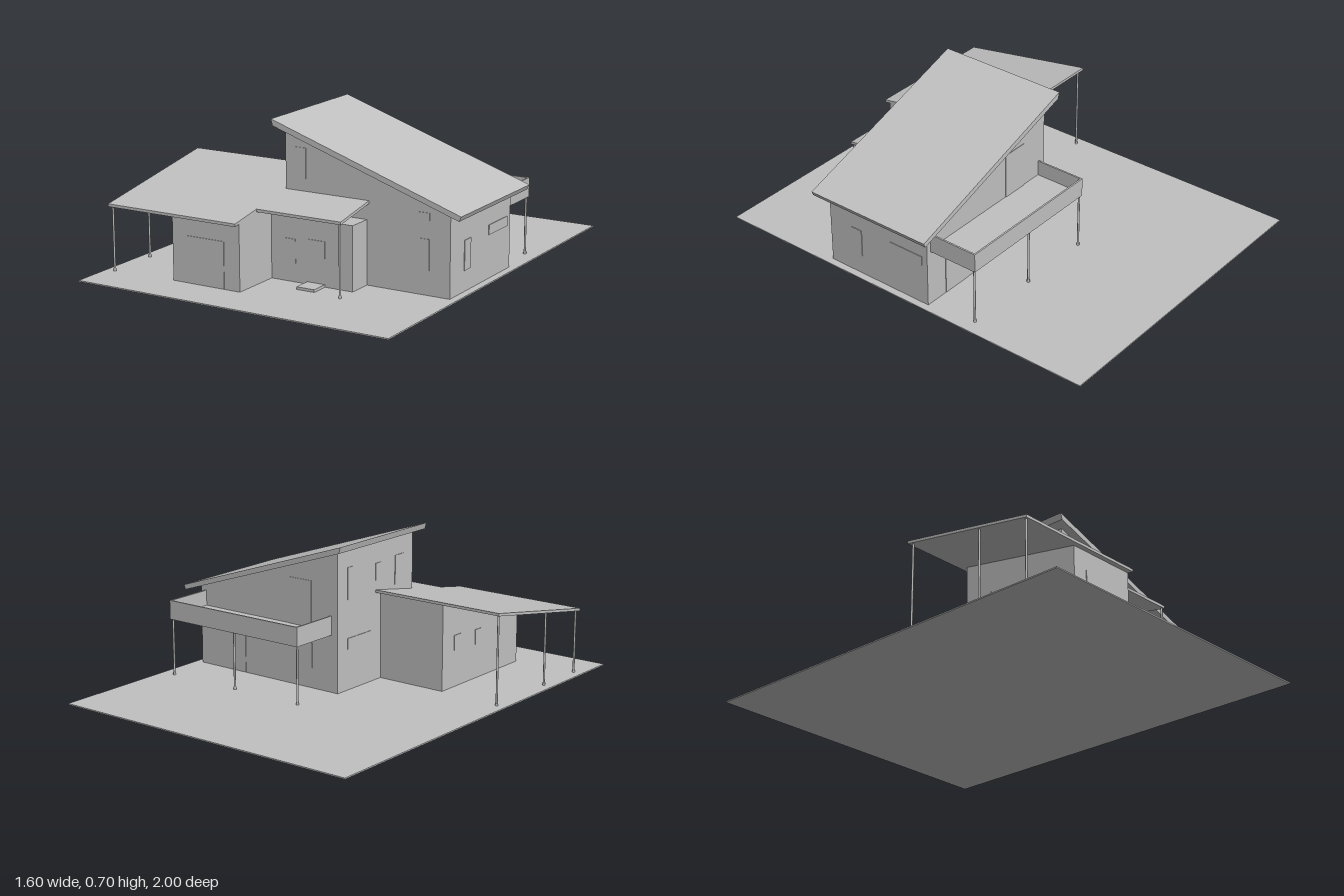
import * as THREE from 'three';

const grey = new THREE.MeshStandardMaterial({ color: 0xc0c0c0 });
grey.name = 'plain grey';

export function createModel() {
  const model = new THREE.Group();
  model.name = 'house';

  const add = (name, geometry, parent = model) => {
    const mesh = new THREE.Mesh(geometry, grey);
    mesh.name = name;
    parent.add(mesh);
    return mesh;
  };
  // Box given by its limits on each axis
  const box = (name, x0, x1, y0, y1, z0, z1, parent) =>
    add(name, new THREE.BoxGeometry(x1 - x0, y1 - y0, z1 - z0), parent)
      .position.set((x0 + x1) / 2, (y0 + y1) / 2, (z0 + z1) / 2);
  const extrude = (points, depth) => new THREE.ExtrudeGeometry(
    new THREE.Shape(points.map(([u, v]) => new THREE.Vector2(u, v))),
    { depth, bevelEnabled: false });
  // Prism with an (x, y) outline running along z
  const prismZ = (name, points, z0, z1) =>
    add(name, extrude(points, z1 - z0).translate(0, 0, z0));
  // Prism with a (z, y) outline running along x
  const prismX = (name, points, x0, x1) =>
    add(name, extrude(points.map(([z, y]) => [-z, y]), x1 - x0)
      .rotateY(Math.PI / 2).translate(x0, 0, 0));

  const GROUND = 0.006;
  box('ground', -0.8, 0.76, 0, GROUND, -1, 1);

  // Tall main block with its single-slope roof
  prismZ('mainWalls', [[-0.095, GROUND], [0.725, GROUND], [0.725, 0.382], [-0.095, 0.655]], -0.15, 0.415);
  prismZ('mainRoof', [[-0.145, 0.70], [-0.137, 0.67], [0.785, 0.363], [0.795, 0.385]], -0.195, 0.455);

  // Low wing, entry block and their roofs, which share one slope
  const roofY = z => 0.435 - 0.175 * (z - 0.13);
  const thick = 0.013;
  const lowRoof = (name, z0, z1, x0, x1) => prismX(name, [
    [z0, roofY(z0)], [z1, roofY(z1)], [z1, roofY(z1) - thick], [z0, roofY(z0) - thick]], x0, x1);
  prismX('wingWalls', [[0.17, GROUND], [0.785, GROUND],
    [0.785, roofY(0.785) - thick], [0.17, roofY(0.17) - thick]], -0.445, -0.095);
  box('entryWalls', -0.095, 0.318, GROUND, 0.3, 0.415, 0.535);
  lowRoof('wingRoof', 0.13, 0.815, -0.77, -0.095);
  lowRoof('porchRoof', 0.415, 0.65, -0.095, 0.328);
  box('entryStep', 0.09, 0.18, GROUND, 0.018, 0.535, 0.625);

  // Balcony: floor slab and thin parapet on three sides
  const balcony = new THREE.Group();
  balcony.name = 'balcony';
  model.add(balcony);
  box('balconyFloor', -0.06, 0.70, 0.275, 0.292, -0.395, -0.15, balcony);
  box('backParapet', -0.06, 0.70, 0.292, 0.365, -0.395, -0.387, balcony);
  for (const x of [-0.06, 0.692])
    box('sideParapet', x, x + 0.008, 0.292, 0.365, -0.387, -0.15, balcony);

  // Slim round posts with small feet
  const post = (x, z, top) => {
    const group = new THREE.Group();
    group.name = 'post';
    group.position.set(x, 0, z);
    model.add(group);
    add('postShaft', new THREE.CylinderGeometry(0.005, 0.005, top - GROUND, 10), group)
      .position.y = (top + GROUND) / 2;
    add('postFoot', new THREE.CylinderGeometry(0.007, 0.007, 0.012, 10), group)
      .position.y = GROUND + 0.006;
  };
  for (const z of [0.15, 0.54, 0.80]) post(-0.755, z, roofY(z) - 0.008);
  post(0.318, 0.64, roofY(0.64) - 0.008);
  for (const x of [-0.052, 0.316, 0.69]) post(x, -0.384, 0.28);

  // Doors and windows as thin plates: on walls facing z, then walls facing x
  const T = 0.003;
  const zPlates = [
    ['garageDoor', -0.37, -0.175, 0.008, 0.22, 0.785],
    ['entryDoor', 0.09, 0.18, 0.018, 0.21, 0.535],
    ['entryWindow', -0.026, 0.03, 0.09, 0.2, 0.535],
    ['upperFrontWindow', -0.045, 0.01, 0.43, 0.58, 0.415],
    ['middleFrontWindow', 0.573, 0.625, 0.29, 0.37, 0.415],
    ['lowerFrontWindow', 0.573, 0.625, 0.1, 0.255, 0.415],
    ['balconyDoor', 0.055, 0.185, 0.292, 0.51, -0.15],
    ['patioDoor', 0.05, 0.2, 0.008, 0.22, -0.15],
    ['patioDoor', 0.45, 0.605, 0.008, 0.22, -0.15],
  ];
  for (const [name, x0, x1, y0, y1, z] of zPlates) box(name, x0, x1, y0, y1, z - T, z + T);
  const xPlates = [
    ['sideWindow', 0.23, 0.288, 0.1, 0.235, 0.725],
    ['sideStripWindow', -0.12, 0.06, 0.205, 0.25, 0.725],
    ['upperSideWindow', -0.08, -0.04, 0.43, 0.58, -0.095],
    ['upperSideWindow', 0.13, 0.17, 0.48, 0.56, -0.095],
    ['upperSideWindow', 0.277, 0.345, 0.43, 0.57, -0.095],
    ['lowerStripWindow', -0.08, 0.09, 0.2, 0.25, -0.095],
    ['wingWindow', 0.26, 0.316, 0.18, 0.25, -0.445],
    ['wingWindow', 0.43, 0.48, 0.17, 0.24, -0.445],
  ];
  for (const [name, z0, z1, y0, y1, x] of xPlates) box(name, x - T, x + T, y0, y1, z0, z1);

  return model;
}
